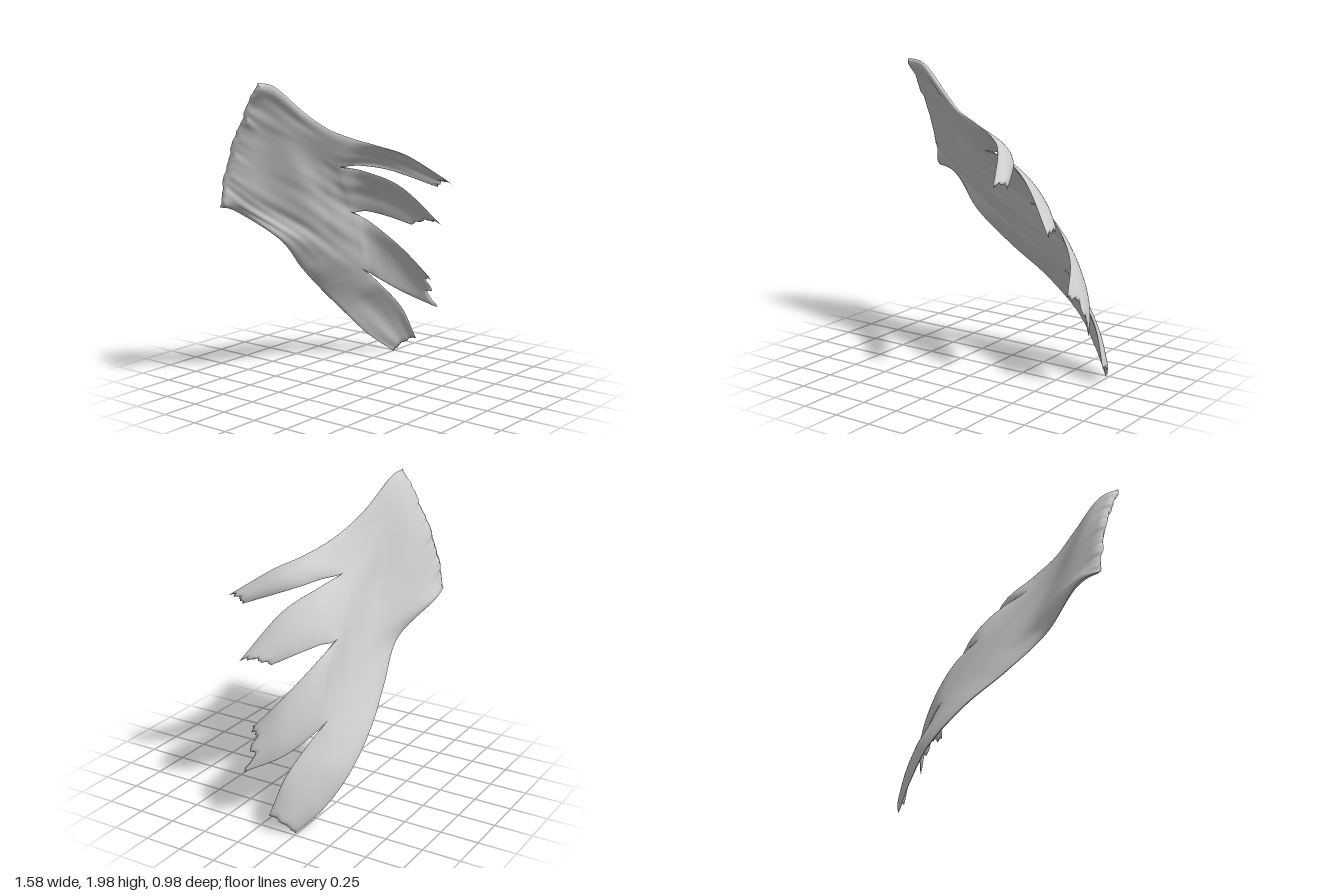
import * as THREE from 'three';
import { mergeGeometries, mergeVertices } from 'three/addons/utils/BufferGeometryUtils.js';

const LAST = 7, SPLIT = 4, ROWS = 84, COLS = 28;
const curve = pts => new THREE.CatmullRomCurve3(pts.map(p => new THREE.Vector3(...p)), false, 'catmullrom', 0.5);

// Lines running from the root of the sheet to where the fingers part
const top = [[-.79, 1.98, -.14], [-.64, 1.95, -.125], [-.44, 1.79, -.07], [-.28, 1.68, -.01], [-.1, 1.61, .04]];
const seam1 = [[-.78, 1.8, -.255], [-.62, 1.72, -.25], [-.45, 1.62, -.17], [-.27, 1.52, -.11], [-.1, 1.43, -.08]];
const seam2 = [[-.78, 1.6, -.36], [-.56, 1.48, -.32], [-.32, 1.34, -.2], [-.07, 1.2, -.19], [.18, 1.09, -.2]];
const seam3 = [[-.78, 1.4, -.43], [-.52, 1.22, -.39], [-.2, 1.02, -.285], [.1, .84, -.29], [.4, .66, -.28]];
const bottom = [[-.78, 1.21, -.47], [-.62, 1.16, -.475], [-.36, .96, -.35], [-.1, .73, -.395], [.15, .54, -.445]];

// Upper and lower edge of each finger, carried on from those lines
const fingers = [
  [[...top, [.08, 1.55, .12], [.22, 1.48, .25], [.35, 1.31, .49]],
    [...seam1, [.06, 1.42, -.02], [.23, 1.38, .1], [.37, 1.28, .37]]],
  [[...seam1, [.1, 1.38, -.03], [.34, 1.26, .1], [.59, .99, .25]],
    [...seam2, [.3, 1.08, -.15], [.41, 1.04, -.06], [.52, .98, .06]]],
  [[...seam2, [.37, .99, -.17], [.56, .8, -.05], [.65, .6, .12]],
    [...seam3, [.53, .57, -.23], [.67, .46, -.11], [.79, .36, .09]]],
  [[...seam3, [.55, .52, -.22], [.7, .34, -.15], [.79, .11, -.09]],
    [...bottom, [.4, .33, -.44], [.58, .14, -.36], [.73, 0, -.24]]],
].map(pair => pair.map(curve));
const jagDepth = [.1, .12, .3, .07];

const clamp01 = x => Math.min(1, Math.max(0, x));
const isOuter = (k, side) => (k === 0 && side === 0) || (k === 3 && side === 1);

// Point on one edge; neighbouring fingers share the seam until the split
function edge(k, side, t) {
  const p = fingers[k][side].getPoint(t / LAST);
  if (t <= SPLIT && !isOuter(k, side)) {
    p.add(fingers[k + (side ? 1 : -1)][1 - side].getPoint(t / LAST)).multiplyScalar(.5);
  }
  return p;
}

// Middle surface: a smooth blend across the seams that frees itself past the split
function middle(k, t, v) {
  const A = edge(k, 0, t), B = edge(k, 1, t), d = B.clone().sub(A);
  const free = clamp01((t - SPLIT) / 1.2);
  const mA = d.clone(), mB = d.clone();
  if (k > 0) mA.lerp(B.clone().sub(edge(k - 1, 0, t)).multiplyScalar(.5), 1 - free);
  if (k < 3) mB.lerp(edge(k + 1, 1, t).sub(A).multiplyScalar(.5), 1 - free);
  const v2 = v * v, v3 = v2 * v;
  return A.multiplyScalar(2 * v3 - 3 * v2 + 1).addScaledVector(mA, v3 - 2 * v2 + v)
    .addScaledVector(B, 3 * v2 - 2 * v3).addScaledVector(mB, v3 - v2);
}

function fingerGeometry(k) {
  const rootNormal = new THREE.Vector3(-.44, -.36, .82);
  const layers = [[], []];
  for (let i = 0; i <= ROWS; i++) {
    for (let j = 0; j <= COLS; j++) {
      const row = LAST * i / ROWS, v = (1 - Math.cos(Math.PI * j / COLS)) / 2;
      // Ragged tip
      const jag = Math.abs(Math.sin(v * 8 + k)) * .7 + Math.abs(Math.sin(v * 19 + 2 * k)) * .3;
      const t = row - jagDepth[k] * jag * Math.min(1, 6 * v * (1 - v)) * clamp01(row - 6);
      const p = middle(k, t, v);

      // Direction of thickness: common on the sheet, own on each finger
      const free = clamp01((t - SPLIT) / 1.2);
      const across = edge(k, 1, t).sub(edge(k, 0, t));
      const along = middle(k, Math.min(LAST, t + .05), .5).sub(middle(k, Math.max(0, t - .05), .5));
      const n = across.cross(along).normalize().lerp(rootNormal, 1 - free).normalize();

      // Rounded free edges, thin tips, slight cupping of the fingers
      const openA = isOuter(k, 0) ? 1 : clamp01((t - SPLIT) * 2);
      const openB = isOuter(k, 1) ? 1 : clamp01((t - SPLIT) * 2);
      const round = x => Math.sqrt(1 - (1 - clamp01(x / .3)) ** 2);
      let half = THREE.MathUtils.lerp(.024, .009, row / LAST);
      half *= (1 - openA * (1 - round(v))) * (1 - openB * (1 - round(1 - v)));
      half *= round(row) * round((LAST - row) * 1.2);
      p.addScaledVector(n, -.025 * 4 * v * (1 - v) * free);

      // Soft uneven folds on the front and an irregular root hem
      const s = k + v, hem = clamp01(1 - t) ** 2;
      const patch = .5 + .5 * Math.sin(1.9 * s + 1.1 * t);
      const folds = patch * (.005 * Math.sin(7.3 * s + .9 * t) + .002 * Math.sin(17 * s - .8 * t));
      const fade = Math.min(1, half / .008);
      const wave = Math.sin(5.3 * s + 1) + .6 * Math.sin(11.7 * s) + .4 * Math.sin(23 * s);
      p.x += .006 * (wave + 1) * hem;
      p.addScaledVector(n, .006 * wave * hem * fade);
      layers[0].push(...p.clone().addScaledVector(n, half + folds * fade).toArray());
      layers[1].push(...p.clone().addScaledVector(n, -half).toArray());
    }
  }
  const index = [], w = COLS + 1, backStart = (ROWS + 1) * w;
  for (let i = 0; i < ROWS; i++) {
    for (let j = 0; j < COLS; j++) {
      const a = i * w + j, b = a + 1, c = a + w, d = c + 1;
      index.push(a, b, c, b, d, c);
      index.push(...[a, c, b, b, c, d].map(q => q + backStart));
    }
  }
  const g = new THREE.BufferGeometry();
  g.setAttribute('position', new THREE.Float32BufferAttribute(layers.flat(), 3));
  g.setIndex(index);
  return g;
}

export function createModel() {
  const group = new THREE.Group();
  group.name = 'tatteredWing';
  // The four fingers are welded along their shared seams into one sheet
  const geometry = mergeVertices(mergeGeometries([0, 1, 2, 3].map(fingerGeometry)), 1e-4);
  geometry.computeVertexNormals();
  const sheet = new THREE.Mesh(geometry, new THREE.MeshStandardMaterial({ color: 0xcccccc, side: THREE.DoubleSide }));
  sheet.name = 'fingeredSheet';
  group.add(sheet);
  return group;
}
